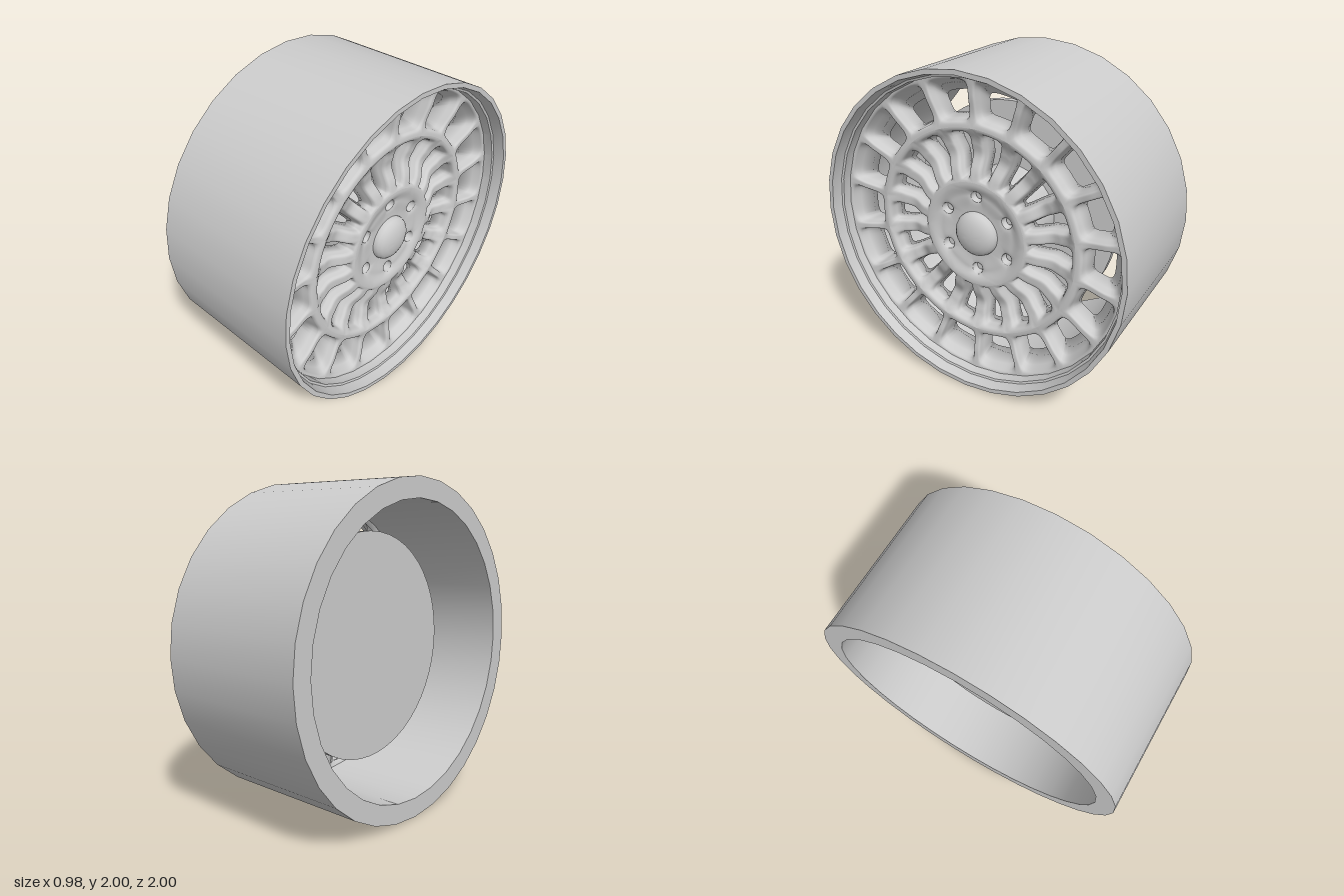
import * as THREE from 'three';
import { mergeVertices, toCreasedNormals } from 'three/addons/utils/BufferGeometryUtils.js';

const metal = new THREE.MeshStandardMaterial({ color: 0xcccccc });
metal.name = 'grey metal';

// Height of the wheel face along the axle, by radius
const FACE = [[0, 0.315], [0.15, 0.315], [0.24, 0.325], [0.32, 0.345], [0.37, 0.335], [0.49, 0.295],
  [0.57, 0.31], [0.65, 0.35], [0.72, 0.34], [0.85, 0.355], [0.96, 0.365]];
function faceX(r) {
  for (let i = 1; i < FACE.length; i++) {
    const [r0, x0] = FACE[i - 1], [r1, x1] = FACE[i];
    if (r <= r1) return x0 + (x1 - x0) * THREE.MathUtils.smoothstep(r, r0, r1);
  }
  return FACE[FACE.length - 1][1];
}

// Ring of equal sectors, each pierced by one rounded opening.
// front / back openings: { r0, r1, w0, w1 } give radii and half widths at them.
function piercedRing({ count, turn, r0, r1, front, back, power, bevel, thickness, K }) {
  const pos = [], index = [];
  const half = Math.PI / count;
  const opening = (o, u, v) => {
    const t = (v + 1) / 2;
    const r = THREE.MathUtils.lerp(o.r0, o.r1, t);
    return [r, u * THREE.MathUtils.lerp(o.w0, o.w1, t) / r];
  };
  const steps = [0, 0.25, 0.5, 0.7, 0.82, 0.91, 0.97, 1];
  const loops = steps.length + 3;
  for (let s = 0; s < count; s++) {
    const mid = (s + turn) * 2 * half, base = pos.length / 3;
    const put = (r, a, x) => pos.push(x, r * Math.cos(mid + a), -r * Math.sin(mid + a));
    for (let j = 0; j < loops; j++) {
      for (let k = 0; k < K; k++) {
        const p = k / K * 2 * Math.PI, c = Math.cos(p), n = Math.sin(p);
        const m = Math.max(Math.abs(c), Math.abs(n));
        const d = (Math.abs(c) ** power + Math.abs(n) ** power) ** (-1 / power);
        const edge = [THREE.MathUtils.lerp(r0, r1, (n / m + 1) / 2), c / m * half];
        const hole = opening(front, c * d, n * d), deep = opening(back, c * d, n * d);
        if (j < steps.length) {
          const t = steps[j];
          const r = THREE.MathUtils.lerp(edge[0], hole[0], t);
          put(r, THREE.MathUtils.lerp(edge[1], hole[1], t), faceX(r) - bevel * t ** 7);
        } else if (j === steps.length) {
          // upper part of the opening wall
          const r = THREE.MathUtils.lerp(hole[0], deep[0], 0.25);
          const x = THREE.MathUtils.lerp(faceX(hole[0]) - bevel, faceX(deep[0]) - thickness, 0.3);
          put(r, THREE.MathUtils.lerp(hole[1], deep[1], 0.25), x);
        } else {
          const [r, a] = j === steps.length + 1 ? deep : edge;
          put(r, a, faceX(r) - thickness);
        }
      }
    }
    for (let j = 0; j < loops - 1; j++) {
      for (let k = 0; k < K; k++) {
        const a = base + j * K + k, b = base + j * K + (k + 1) % K;
        index.push(a, b, b + K, a, b + K, a + K);
      }
    }
  }
  let g = new THREE.BufferGeometry();
  g.setAttribute('position', new THREE.Float32BufferAttribute(pos, 3));
  g.setIndex(index);
  g = mergeVertices(g, 1e-4);
  g.computeVertexNormals();
  return g;
}

// Lathe around the x axis from [radius, x] points
function turned(points, segments) {
  const g = new THREE.LatheGeometry(points.map(([r, x]) => new THREE.Vector2(r, x)), segments);
  g.rotateZ(-Math.PI / 2);
  return toCreasedNormals(g, 0.5);
}

export function createModel() {
  const model = new THREE.Group();
  model.name = 'wheel';
  const wheel = new THREE.Group();
  wheel.name = 'wheelAssembly';
  wheel.position.y = 1;
  model.add(wheel);
  const add = (name, geometry) => {
    const mesh = new THREE.Mesh(geometry, metal);
    mesh.name = name;
    wheel.add(mesh);
    return mesh;
  };

  // Barrel with stepped front lip and open back
  add('barrel', turned([[1, -0.49], [1, 0.49], [0.972, 0.49], [0.958, 0.425], [0.945, 0.42],
    [0.94, 0.35], [0.88, 0.25], [0.88, -0.49], [1, -0.49]], 32));

  // Outer ring of windows
  add('outerSpokes', piercedRing({
    count: 18, turn: 0.5, r0: 0.65, r1: 0.96, K: 48, power: 5, bevel: 0.016, thickness: 0.13,
    front: { r0: 0.685, r1: 0.918, w0: 0.098, w1: 0.138 },
    back: { r0: 0.705, r1: 0.835, w0: 0.086, w1: 0.106 },
  }));

  // Inner ring of curved spokes
  add('innerSpokes', piercedRing({
    count: 18, turn: 0.5, r0: 0.33, r1: 0.65, K: 48, power: 6, bevel: 0.02, thickness: 0.1,
    front: { r0: 0.35, r1: 0.622, w0: 0.024, w1: 0.066 },
    back: { r0: 0.37, r1: 0.608, w0: 0.011, w1: 0.05 },
  }));

  // Hub with six bolt holes
  add('hub', piercedRing({
    count: 6, turn: 0, r0: 0.1, r1: 0.332, K: 64, power: 2, bevel: 0.008, thickness: 0.12,
    front: { r0: 0.2, r1: 0.27, w0: 0.035, w1: 0.035 },
    back: { r0: 0.211, r1: 0.259, w0: 0.024, w1: 0.024 },
  }));
  for (let i = 0; i < 6; i++) {
    const a = i * Math.PI / 3;
    const bolt = add('bolt', new THREE.CylinderGeometry(0.026, 0.026, 0.06, 16));
    bolt.rotation.z = -Math.PI / 2;
    bolt.position.set(0.25, 0.235 * Math.cos(a), -0.235 * Math.sin(a));
  }

  // Domed centre cap
  add('centreCap', turned([[0.139, 0.29], [0.139, 0.325], [0.132, 0.345], [0.115, 0.362],
    [0.085, 0.377], [0.045, 0.386], [0, 0.389]], 32));

  // Solid disc behind the spokes, joined to the hub
  add('rearDisc', turned([[0, -0.135], [0.7, -0.135], [0.7, -0.09], [0, -0.09]], 48));
  add('hubCore', turned([[0.3, -0.1], [0.3, 0.21], [0, 0.21]], 32));

  return model;
}
